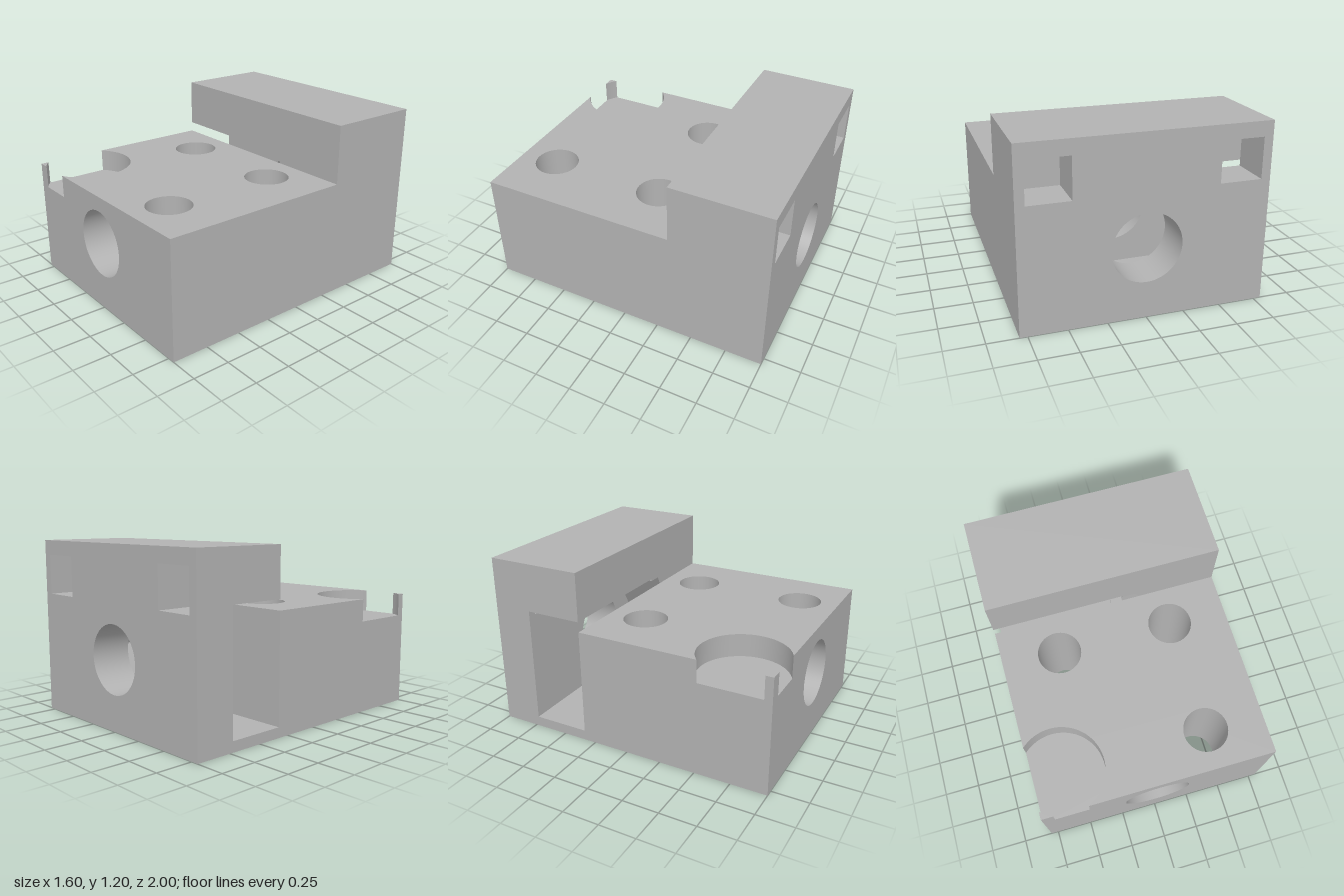
import * as THREE from 'three';

const grey = new THREE.MeshStandardMaterial({ color: 0xb2b2b2, side: THREE.DoubleSide });
grey.name = 'grey';

const W = 0.8, STEP_Y = 0.8, TOP = 1.2, STEP_Z = -0.333, SLOT_Z = -0.727;

// Points along an arc, for outlines and walls
function arc(cx, cy, r, a = 0, b = Math.PI * 2, n = 64) {
  return Array.from({ length: n + 1 }, (_, i) => {
    const t = a + (b - a) * i / n;
    return [cx + r * Math.cos(t), cy + r * Math.sin(t)];
  });
}
const circle = (cx, cy, r) => arc(cx, cy, r).slice(0, -1);
const rect = (x0, y0, x1, y1) => [[x0, y0], [x1, y0], [x1, y1], [x0, y1]];
const vectors = pts => pts.map(p => new THREE.Vector2(p[0], p[1]));

// Outlines are (x,y) for axis z, (x,z) for axis y and (z,y) for axis x
function place(geo, axis) {
  if (axis === 'y') geo.rotateX(Math.PI / 2);
  if (axis === 'x') geo.rotateY(-Math.PI / 2);
  return geo;
}
const depth = (axis, d) => (axis === 'z' ? d : -d);

export function createModel() {
  const group = new THREE.Group();
  group.name = 'clampBlock';

  function add(name, geo) {
    const mesh = new THREE.Mesh(geo, grey);
    mesh.name = name;
    group.add(mesh);
  }

  // Flat face with holes
  function face(name, axis, d, outline, holes = []) {
    const shape = new THREE.Shape(vectors(outline));
    holes.forEach(h => shape.holes.push(new THREE.Path(vectors(h))));
    const geo = new THREE.ShapeGeometry(shape).translate(0, 0, depth(axis, d));
    add(name, place(geo, axis));
  }

  // Wall sweeping an outline from one depth to another
  function wall(name, axis, from, to, pts, closed, smooth) {
    const pos = [], index = [], n = pts.length;
    for (const [x, y] of pts) pos.push(x, y, depth(axis, from), x, y, depth(axis, to));
    for (let i = 0; i < (closed ? n : n - 1); i++) {
      const a = 2 * i, b = 2 * ((i + 1) % n);
      index.push(a, b, a + 1, b, b + 1, a + 1);
    }
    let geo = new THREE.BufferGeometry();
    geo.setAttribute('position', new THREE.Float32BufferAttribute(pos, 3));
    geo.setIndex(index);
    if (!smooth) geo = geo.toNonIndexed();
    geo.computeVertexNormals();
    add(name, place(geo, axis));
  }

  const bore = circle(0, 0.47, 0.228);
  const boltHoles = [[-0.4, -0.07], [0.4, -0.07], [0.4, 0.73]].map(([x, z]) => circle(x, z, 0.15));
  const windows = [rect(-0.74, 0.83, -0.465, 1.1), rect(0.465, 0.83, 0.74, 1.1)];

  // Round corner recess, cut by the front and one side
  const cx = -0.6, cz = 0.73, r = 0.295, floorY = 0.645;
  const dx = Math.sqrt(r * r - (1 - cz) ** 2), dz = Math.sqrt(r * r - (W + cx) ** 2);
  const mainArc = arc(cx, cz, r, Math.atan2(1 - cz, dx), Math.atan2(-dz, -W - cx), 48);
  const cornerArc = arc(cx, cz, r, Math.atan2(dz, -W - cx), Math.atan2(1 - cz, -dx), 8);

  // Side-opening slot ending in half a hexagonal pocket
  const slot = [[-W, 0.87], [0.13, 0.87], [0.13, 0.855], [0.222, 0.855], [0.4446, 0.47],
    [0.222, 0.085], [0.13, 0.085], [0.13, 0.07], [-W, 0.07]];
  const slotAtStep = [0.254, STEP_Y];

  // Front, back and step faces
  face('frontFace', 'z', 1, [[-W, 0], [W, 0], [W, STEP_Y], [cx + dx, STEP_Y], [cx + dx, floorY],
    [cx - dx, floorY], [cx - dx, STEP_Y], [-W, STEP_Y]], [bore]);
  face('backFace', 'z', -1, rect(-W, 0, W, TOP), [bore, ...windows]);
  face('stepFace', 'z', STEP_Z, [...slot.slice(0, 4), slotAtStep, [W, STEP_Y], [W, TOP], [-W, TOP]]);

  // Horizontal faces
  face('upperTop', 'y', TOP, rect(-W, -1, W, STEP_Z));
  face('lowerTop', 'y', STEP_Y,
    [[-W, STEP_Z], [W, STEP_Z], [W, 1], ...mainArc], boltHoles);
  face('cornerPostTop', 'y', STEP_Y, [...cornerArc, [-W, 1]]);
  face('bottomFace', 'y', 0, rect(-W, -1, W, 1), boltHoles);

  // Side faces
  face('leftSide', 'x', W, [[-1, 0], [1, 0], [1, STEP_Y], [STEP_Z, STEP_Y], [STEP_Z, TOP], [-1, TOP]]);
  face('rightSide', 'x', -W, [[-1, 0], [1, 0], [1, STEP_Y], [cz + dz, STEP_Y], [cz + dz, floorY],
    [cz - dz, floorY], [cz - dz, STEP_Y], [STEP_Z, STEP_Y], [STEP_Z, 0.07], [SLOT_Z, 0.07],
    [SLOT_Z, 0.87], [STEP_Z, 0.87], [STEP_Z, TOP], [-1, TOP]]);

  // Recess
  face('recessFloor', 'y', floorY, [...mainArc, ...cornerArc]);
  wall('recessWall', 'y', floorY, STEP_Y, mainArc, false, true);
  wall('recessCornerWall', 'y', floorY, STEP_Y, cornerArc, false, true);

  // Slot
  wall('slotWall', 'z', SLOT_Z, STEP_Z, slot, false, false);
  face('slotFrontWall', 'z', STEP_Z, [[-W, STEP_Y], slotAtStep, ...slot.slice(4)], [bore]);
  face('slotBackWall', 'z', SLOT_Z, [slot[0], [-0.74, 0.87], [-0.74, 0.83], [-0.465, 0.83],
    [-0.465, 0.87], ...slot.slice(1)], [bore]);

  // Round holes
  wall('boreBack', 'z', -1, SLOT_Z, bore, true, true);
  wall('boreFront', 'z', STEP_Z, 1, bore, true, true);
  boltHoles.forEach(h => wall('boltHole', 'y', 0, STEP_Y, h, true, true));

  // Square pockets in the back; one breaks into the slot
  windows.forEach(w => wall('backPocket', 'z', -1, SLOT_Z, w, true, false));
  face('pocketEnd', 'z', SLOT_Z, rect(-0.74, 0.87, -0.465, 1.1));
  face('pocketEnd', 'z', SLOT_Z, windows[1]);

  return group;
}
